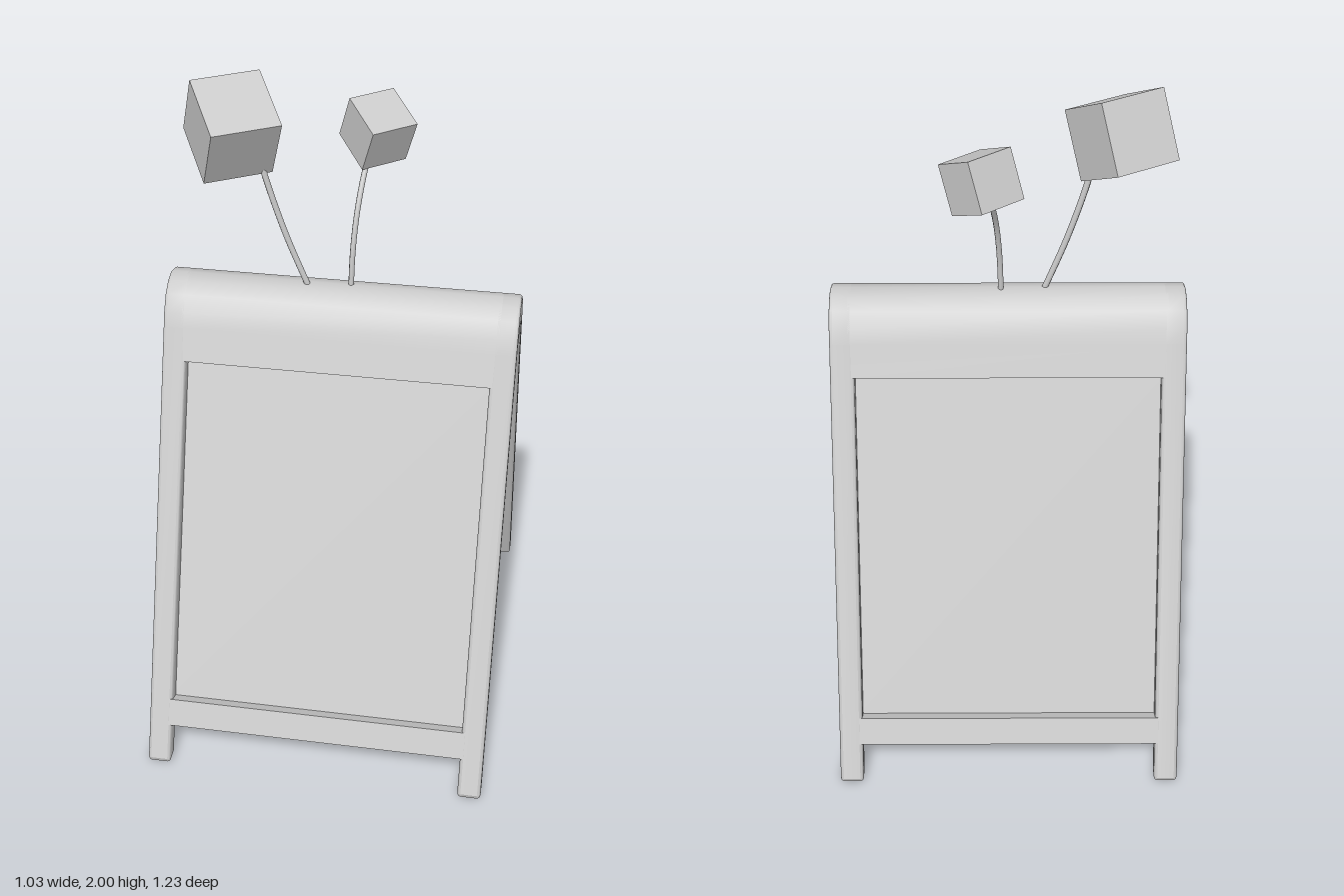
import * as THREE from 'three';
import { toCreasedNormals } from 'three/addons/utils/BufferGeometryUtils.js';

const material = new THREE.MeshStandardMaterial({ color: 0xcccccc });

// Point [z, y] on the sloped board: height y on the outer face, depth d into the board
const at = (y, d = 0) => [0.62 - 0.394 * y - 0.93 * d, y - 0.366 * d];
const THICK = 0.051;
const mirrorZ = (pts) => pts.map(([z, y]) => [-z, y]).reverse();

// Right half of the rounded ridge, outside and inside
const ridge = [[0.12, 1.27], [0.105, 1.31], [0.075, 1.355], [0.04, 1.38]];
const innerRidge = [[0.067, 1.265]];

// Arched outline running up one side, over the ridge and down, then back along the inside
function arch(outerFoot, innerFoot) {
  const outer = [...outerFoot, ...ridge];
  const inner = [...innerFoot, ...innerRidge];
  return [...outer, [0, 1.39], ...mirrorZ(outer), ...mirrorZ(inner).reverse(), [0, 1.29], ...inner.reverse()];
}

// Extrudes a [z, y] outline across x, centred on x
function slab(name, outline, width, x = 0, bevel = 0) {
  const shape = new THREE.Shape(outline.map(([z, y]) => new THREE.Vector2(-z, y)));
  const geo = new THREE.ExtrudeGeometry(shape, {
    depth: width - 2 * bevel,
    bevelEnabled: bevel > 0,
    bevelSize: bevel,
    bevelThickness: bevel,
    bevelOffset: -bevel,
    bevelSegments: 3,
  });
  geo.translate(0, 0, -(width - 2 * bevel) / 2);
  geo.rotateY(Math.PI / 2);
  const mesh = new THREE.Mesh(toCreasedNormals(geo, 0.6), material);
  mesh.name = name;
  mesh.position.x = x;
  return mesh;
}

// Cube on a curved stem
function antenna(side, path, radius, size, centre, yaw, tilt) {
  const group = new THREE.Group();
  group.name = side + 'Antenna';
  const curve = new THREE.CatmullRomCurve3(path.map((p) => new THREE.Vector3(...p)));
  const stem = new THREE.Mesh(new THREE.TubeGeometry(curve, 16, radius, 8), material);
  stem.name = 'stem';
  const cube = new THREE.Mesh(new THREE.BoxGeometry(size, size, size), material);
  cube.name = 'cube';
  cube.position.set(...centre);
  cube.rotation.set(tilt, yaw, 0, 'YXZ');
  group.add(stem, cube);
  return group;
}

export function createModel() {
  const model = new THREE.Group();
  model.name = 'sandwichBoard';

  // Side frames with softened edges, forming the four feet
  const frame = arch([[0.612, 0], [0.615, 0.013]], [[0.565, 0]]);
  for (const [name, s] of [['leftFrame', 1], ['rightFrame', -1]]) {
    model.add(slab(name, frame, 0.07, s * 0.478, 0.01));
  }

  // Rounded cap joining both boards
  model.add(slab('topCap', arch([at(1.178)], [at(1.178, THICK)]), 0.92));

  // Bottom rail and recessed panel on each board
  const rail = [at(0.118), at(0.197), at(0.197, THICK), at(0.118, THICK)];
  const panel = [at(0.19, 0.039), at(1.185, 0.039), at(1.185, THICK), at(0.19, THICK)];
  for (const [side, place] of [['front', (p) => p], ['back', mirrorZ]]) {
    model.add(slab(side + 'Rail', place(rail), 0.92));
    model.add(slab(side + 'Panel', place(panel), 0.92));
  }

  // Two cubes on stems rising from the ridge
  model.add(antenna('right',
    [[-0.1, 1.37, 0.005], [-0.165, 1.54, 0.007], [-0.215, 1.7, 0.008], [-0.24, 1.8, 0.01]],
    0.009, 0.2, [-0.31, 1.865, 0.01], 0.53, 0.47));
  model.add(antenna('left',
    [[0.02, 1.37, -0.003], [0.024, 1.5, -0.015], [0.032, 1.61, -0.045], [0.045, 1.71, -0.1], [0.06, 1.77, -0.14]],
    0.008, 0.143, [0.072, 1.81, -0.157], 0.675, 0.42));

  return model;
}
